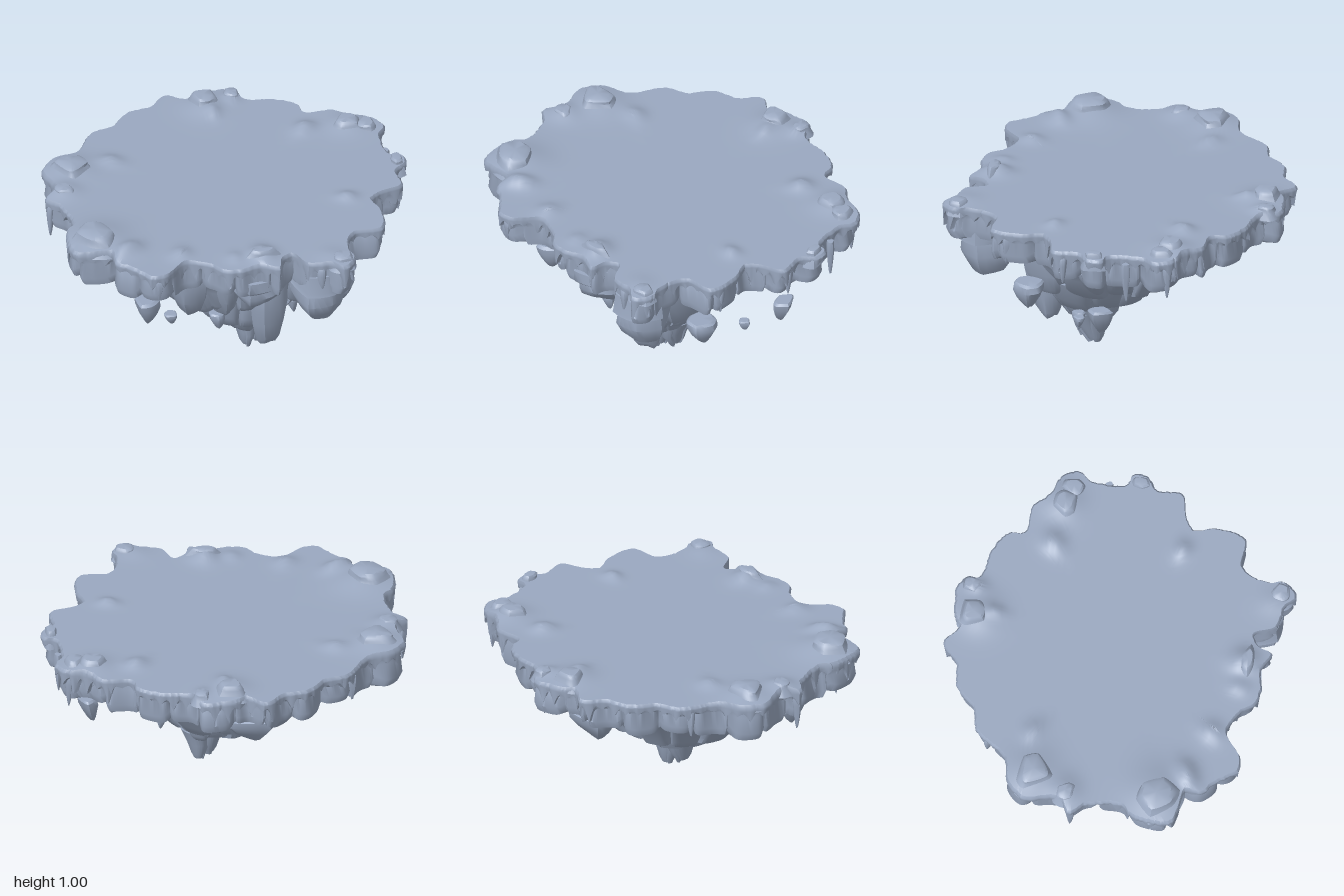
import * as THREE from 'three';
import { toCreasedNormals } from 'three/addons/utils/BufferGeometryUtils.js';

const stone = new THREE.MeshStandardMaterial({ color: 0x9aa8c0 });
stone.name = 'blue grey stone';

// Repeatable pseudo-random value in 0..1
const hash = (a, b = 0) => {
  const s = Math.sin(a * 127.1 + b * 311.7 + 4.3) * 43758.5453;
  return s - Math.floor(s);
};

// Skins a stack of closed rings, ordered from the top (or centre) downwards
function loft(name, rings, crease = 0.75) {
  const pos = [];
  const tri = (a, b, c) => {
    if (a.distanceTo(b) > 1e-5 && b.distanceTo(c) > 1e-5 && a.distanceTo(c) > 1e-5)
      pos.push(...a.toArray(), ...b.toArray(), ...c.toArray());
  };
  for (let i = 0; i + 1 < rings.length; i++) {
    const r = rings[i], s = rings[i + 1], n = r.length;
    for (let j = 0; j < n; j++) {
      const k = (j + 1) % n;
      tri(r[j], r[k], s[j]);
      tri(r[k], s[k], s[j]);
    }
  }
  const g = new THREE.BufferGeometry();
  g.setAttribute('position', new THREE.Float32BufferAttribute(pos, 3));
  const mesh = new THREE.Mesh(toCreasedNormals(g, crease), stone);
  mesh.name = name;
  return mesh;
}

// Island outline as x, z pairs
const OUTLINE = [
  -.15, -.92, -.05, -.85, .02, -.88, .2, -.9, .26, -.79, .42, -.76, .54, -.68, .56, -.6, .72, -.58,
  .8, -.49, .9, -.46, .95, -.36, .91, -.3, .93, -.1, .985, -.08, .985, 0, .92, .06, .92, .2, .78, .25,
  .73, .3, .76, .42, .73, .58, .56, .6, .5, .76, .52, .83, .44, .91, .38, .86, .26, .84, .2, .73,
  .13, .77, .1, .84, 0, .8, -.12, .82, -.2, .8, -.25, .74, -.39, .68, -.51, .77, -.6, .77, -.68, .68,
  -.75, .6, -.76, .52, -.88, .5, -.96, .47, -.95, .25, -.9, .2, -.93, 0, -.99, -.08, -.93, -.15,
  -.95, -.35, -.88, -.44, -.74, -.48, -.62, -.65, -.48, -.7, -.4, -.79, -.25, -.83];

// Soft mounds on the plateau: x, z, height, radius
const MOUNDS = [
  [-.8, -.32, .04, .13], [-.57, -.35, .03, .06], [-.8, .36, .045, .15], [-.64, .5, .035, .06],
  [-.4, .6, .03, .06], [.03, .7, .05, .07], [.6, .26, .03, .05], [.52, -.43, .04, .06],
  [.76, -.42, .035, .1], [.05, -.75, .035, .11], [-.88, -.12, .035, .08], [.4, .8, .015, .08],
  [.07, -.67, .025, .04], [.2, -.8, .03, .05], [-.12, .7, .02, .05], [-.7, .53, .03, .05]];

const topHeight = (x, z) => MOUNDS.reduce((y, [mx, mz, h, r]) =>
  y + h * Math.exp(-((x - mx) ** 2 + (z - mz) ** 2) / (r * r)), 0.92);

// Plateau, dripping lip and blocky rim wall in one skin
function plateau() {
  const N = 576, BLOCK = 18, TOOTH = 6, LOBE = 12;
  const pts = [];
  for (let i = 0; i < OUTLINE.length; i += 2) pts.push(new THREE.Vector3(OUTLINE[i], 0, OUTLINE[i + 1]));
  const edge = new THREE.CatmullRomCurve3(pts, true, 'centripetal').getSpacedPoints(N).slice(0, N);
  // Uneven scallops along the lip
  const scallop = j => {
    const k = Math.floor(j / LOBE), t = Math.abs((j % LOBE) / LOBE * 2 - 1);
    return 1.012 - 0.012 * t ** 4 - 0.016 * hash(k, 2) * (1 - t ** 4) - 0.006 * hash(j, 4);
  };
  const ring = (scale, height) => edge.map((p, j) => {
    const s = typeof scale === 'function' ? scale(j) : scale;
    const x = p.x * s, z = p.z * s;
    return new THREE.Vector3(x, height(j, x, z), z);
  });
  const onTop = (j, x, z) => topHeight(x, z);
  const tooth = j => {
    const k = Math.floor(j / TOOTH), t = Math.abs((j % TOOTH) / TOOTH * 2 - 1);
    return 0.88 - (0.015 + 0.09 * hash(k, 3) ** 2) * (1 - t) ** 1.6;
  };
  const block = j => Math.floor(j / BLOCK);
  const notch = j => Math.abs((j % BLOCK) / BLOCK * 2 - 1) ** 6;
  const wall = (base, gap) => j => base - 0.03 * hash(block(j), 7) - gap * notch(j);
  const foot = j => 0.705 + 0.05 * hash(block(j), 9) + 0.025 * notch(j);
  const rings = [0, .2, .4, .52, .6, .66, .71, .76, .8, .84, .88, .92, .955].map(s => ring(s, onTop));
  rings.push(
    ring(j => scallop(j) - 0.012, onTop),
    ring(scallop, (j, x, z) => topHeight(x, z) - 0.014),
    ring(scallop, () => 0.897),
    ring(j => scallop(j) - 0.005, tooth),
    ring(0.98, j => tooth(j) + 0.004),
    ring(wall(0.99, 0.025), j => Math.min(0.85, tooth(j) + 0.002)),
    ring(wall(1, 0.035), j => foot(j) + 0.045),
    ring(wall(0.98, 0.035), foot),
    ring(wall(0.92, 0.03), j => foot(j) - 0.008),
    ring(0.72, () => 0.735),
    ring(0, () => 0.75));
  return loft('plateau', rings, 0.7);
}

// Fluted tier of the hanging cone: levels are [y, xMin, xMax, zMin, zMax]
function tier(name, columns, seed, depth, levels) {
  const PER = 12, n = columns * PER;
  const rings = levels.map(([y, x0, x1, z0, z1], i) => Array.from({ length: n }, (_, j) => {
    const col = Math.floor(j / PER), f = (j % PER) / PER;
    const start = c => c + 0.5 * (hash(c % columns, seed + 3) - 0.5);
    const a = (start(col) * (1 - f) + start(col + 1) * f) / columns * Math.PI * 2;
    const groove = Math.abs(f * 2 - 1) ** 6;
    const r = 1.05 - depth * (0.8 * groove + 1.1 * hash(col, seed));
    const drop = i ? 0.4 * depth * (hash(col, seed + 1) - 0.3) * Math.min(1, (1 - y) * 1.2) : 0;
    return new THREE.Vector3((x0 + x1) / 2 + Math.cos(a) * r * (x1 - x0) / 2,
      Math.max(0, y + drop), (z0 + z1) / 2 + Math.sin(a) * r * (z1 - z0) / 2);
  }));
  const close = ring => {
    const c = ring.reduce((s, p) => s.add(p), new THREE.Vector3()).divideScalar(n);
    return ring.map(() => c);
  };
  return loft(name, [close(rings[0]), ...rings, close(rings.at(-1))], 0.65);
}

// Rock profiles: [depth fraction, width fraction]
const SHARD = [[0, 0], [0, .8], [.08, 1], [.3, .98], [.6, .72], [.85, .42], [.97, .2], [1, 0]];
const CHUNK = [[0, 0], [0, .92], [.1, 1], [.4, .98], [.65, .88], [.9, .62], [.98, .42], [1, 0]];
const CAPPED = [[0, 0], [0, .95], [.3, 1.04], [.36, 1.02], [.37, .9], [.6, .92], [.8, .78], [.95, .55], [1, 0]];
const BOULDER = [[0, 0], [.03, .6], [.14, .78], [.3, .84], [.5, .95], [1, 1.25], [1, 0]];

// Angular rock hung from its top centre, leaning as it goes down
function rock(name, profile, [x, y, z, w, h, d], seed, leanX = 0, leanZ = 0) {
  const SIDES = 6, PER = 4;
  const corner = (q, i) => {
    const k = q % SIDES;
    const a = (k + 0.7 * (hash(k, seed) - 0.5)) / SIDES * Math.PI * 2 + seed;
    const r = 0.98 + 0.22 * hash(k, seed + 5) + 0.14 * (hash(k, seed + 11 * i) - 0.5);
    return new THREE.Vector3(Math.cos(a) * r * w / 2, 0, Math.sin(a) * r * d / 2);
  };
  return loft(name, profile.map(([t, s], i) => Array.from({ length: SIDES * PER }, (_, j) => {
    const k = Math.floor(j / PER), f = (j % PER) / PER;
    const p = corner(k, i).lerp(corner(k + 1, i), f);
    // Faces bulge a little between the corners
    p.multiplyScalar(s * (1 + 0.3 * f * (1 - f)));
    const skew = t > 0 && t < 1 ? 0.12 * h * (hash(k, seed + 2) - 0.5) * (1 - f)
      + 0.12 * h * (hash((k + 1) % SIDES, seed + 2) - 0.5) * f : 0;
    return p.add(new THREE.Vector3(x + leanX * t, y - h * t + skew * t, z + leanZ * t));
  })), 0.6);
}

export function createModel() {
  const island = new THREE.Group();
  island.name = 'floatingIsland';
  island.add(plateau());

  // Hanging cone in stepped tiers
  island.add(
    tier('upperTier', 15, 2, 0.12, [
      [.78, -.8, .72, -.62, .72], [.72, -.76, .66, -.58, .66], [.64, -.66, .55, -.51, .57],
      [.54, -.55, .49, -.43, .53], [.43, -.46, .41, -.36, .5], [.385, -.42, .36, -.33, .46],
      [.36, -.34, .3, -.26, .4]]),
    tier('middleTier', 10, 5, 0.12, [
      [.45, -.27, .39, -.23, .46], [.32, -.24, .33, -.17, .43], [.25, -.2, .27, -.13, .39],
      [.21, -.1, .2, -.04, .32]]),
    tier('lowerTier', 8, 8, 0.1, [
      [.32, -.1, .27, -.02, .42], [.19, -.07, .22, .01, .34], [.155, -.04, .2, .04, .31], [.14, 0, .16, .09, .26]]),
    tier('rightTip', 6, 11, 0.05, [
      [.2, -.04, .14, .07, .28], [.1, .0, .115, .1, .27], [.04, .015, .095, .14, .25], [.012, .03, .085, .155, .235]]),
    tier('leftTip', 6, 12, 0.05, [
      [.2, .05, .22, .05, .26], [.1, .06, .18, .08, .24], [.04, .08, .16, .095, .2], [.008, .09, .145, .11, .18]]));

  // Buttresses and blocks under the rim
  [[.13, .6, .44, .2, .46, .23, 0, -.04, CHUNK], [.35, .82, .69, .27, .33, .32, 0, -.02, CAPPED],
    [.01, .8, .68, .3, .22, .22, 0, -.04, CAPPED], [.71, .75, 0, .26, .18, .2, -.02, 0, SHARD],
    [-.08, .75, -.71, .28, .17, .24, 0, .01, SHARD], [-.3, .74, .42, .22, .37, .26, .02, -.08, CHUNK],
    [.33, .74, .4, .22, .36, .24, -.04, -.06, CHUNK], [-.12, .74, .5, .2, .38, .18, .02, -.12, CHUNK]]
    .forEach(([x, y, z, w, h, d, lx, lz, profile], i) =>
      island.add(rock('hangingBlock' + (i + 1), profile, [x, y, z, w, h, d], 20 + i, lx, lz)));

  // Boulders along the plateau edge
  [[-.8, .99, -.31, .22, .1, .19], [-.82, 1, .37, .22, .11, .22], [.04, .985, -.79, .16, .09, .16],
    [.75, .975, -.41, .14, .08, .14], [.85, .96, -.38, .12, .08, .14], [.03, .975, .72, .16, .07, .08],
    [-.88, .96, -.12, .12, .07, .12], [.2, .96, -.82, .1, .07, .1], [-.68, .95, .51, .11, .05, .08],
    [.45, .95, .83, .12, .08, .11], [.94, .95, -.03, .07, .1, .12]]
    .forEach((b, i) => island.add(rock('boulder' + (i + 1), BOULDER, b, 40 + i)));

  // Long drips on the rim
  [[-.965, -.08, .2], [.915, -.2, .22], [.905, .15, .15], [-.925, .3, .16], [.33, .84, .15],
    [-.55, .755, .13], [.72, .5, .16], [.15, -.87, .16], [-.64, -.59, .15], [.88, -.42, .2]]
    .forEach(([x, z, h], i) => island.add(rock('drip' + (i + 1), SHARD, [x, .88, z, .045, h, .045], 60 + i)));

  // Loose floating rocks
  [[-.54, .525, .4, .14, .165, .15], [-.39, .345, .31, .07, .065, .07], [-.15, .37, .39, .08, .11, .08],
    [.52, .53, .42, .14, .15, .17], [.74, .505, -.02, .1, .145, .12], [.58, .375, .13, .06, .06, .06],
    [.31, .27, .19, .055, .1, .065]]
    .forEach((b, i) => island.add(rock('floatingRock' + (i + 1), SHARD, b, 80 + i, i === 4 ? -.03 : .01)));

  return island;
}
